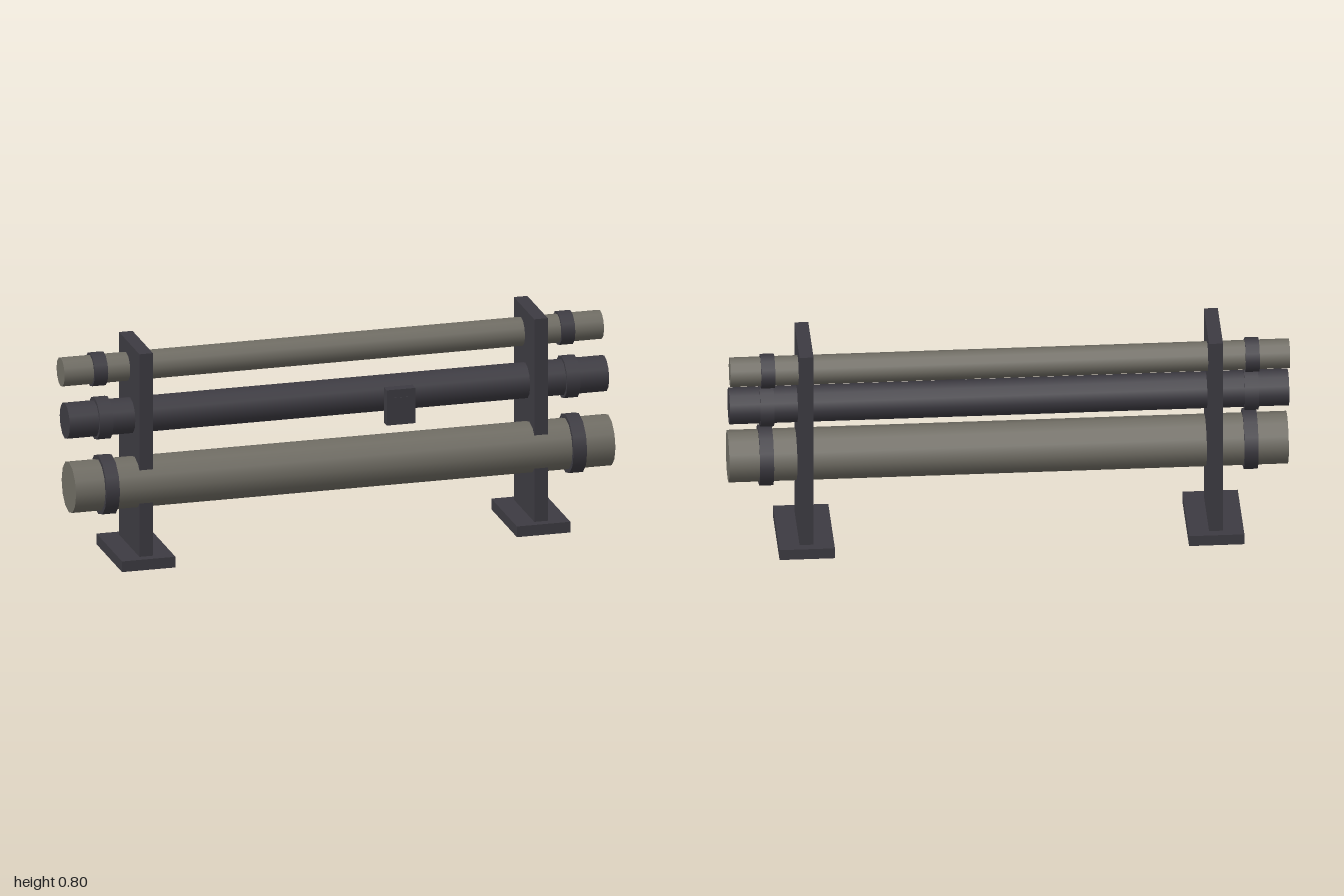
import * as THREE from 'three';

const pipeGrey = new THREE.MeshStandardMaterial({ color: 0x706d64 });
pipeGrey.name = 'pipe grey';
const darkMetal = new THREE.MeshStandardMaterial({ color: 0x3d3b42 });
darkMetal.name = 'dark metal';

export function createModel() {
  const model = new THREE.Group();
  model.name = 'pipeRack';

  const add = (name, geometry, material, x, y, z) => {
    const mesh = new THREE.Mesh(geometry, material);
    mesh.name = name;
    mesh.position.set(x, y, z);
    model.add(mesh);
  };
  const box = (name, w, h, d, x, y, z) =>
    add(name, new THREE.BoxGeometry(w, h, d), darkMetal, x, y, z);
  // Twelve-sided cylinder lying along x
  const rod = (name, r, length, material, x, y, z) =>
    add(name, new THREE.CylinderGeometry(r, r, length, 12).rotateZ(Math.PI / 2), material, x, y, z);

  // Three pipes, each with a collar near both ends
  const pipes = [
    { name: 'lower', r: 0.094, collar: 0.109, y: 0.302, z: 0.056, material: pipeGrey },
    { name: 'middle', r: 0.066, collar: 0.078, y: 0.535, z: 0.003, material: darkMetal },
    { name: 'upper', r: 0.053, collar: 0.062, y: 0.701, z: -0.051, material: pipeGrey },
  ];
  for (const p of pipes) {
    rod(p.name + 'Pipe', p.r, 2, p.material, 0, p.y, p.z);
    for (const s of [-1, 1]) rod(p.name + 'Collar', p.collar, 0.05, darkMetal, s * 0.866, p.y, p.z);
  }

  // Upright plates standing on feet
  for (const s of [-1, 1]) {
    box('supportPlate', 0.05, 0.762, 0.266, s * 0.732, 0.419, -0.011);
    box('supportFoot', 0.198, 0.04, 0.333, s * 0.732, 0.02, -0.0105);
  }

  // Small control box in front of the middle pipe
  box('controlBox', 0.107, 0.132, 0.039, 0.198, 0.535, 0.1575);
  box('controlButton', 0.05, 0.02, 0.004, 0.198, 0.561, 0.177);

  return model;
}
